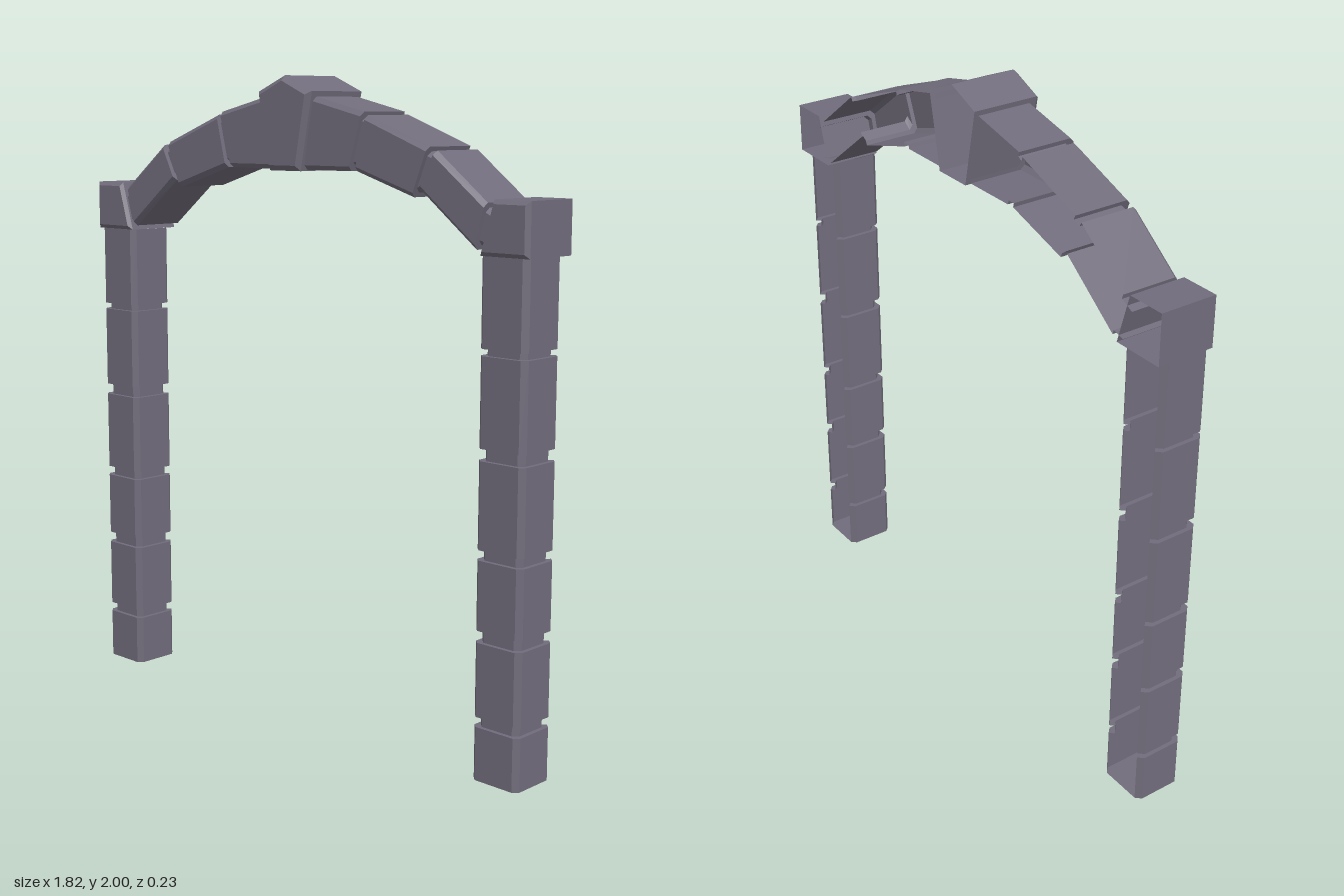
import * as THREE from 'three';

const stone = new THREE.MeshStandardMaterial({ color: 0x716c7b, flatShading: true, side: THREE.DoubleSide });

// Skin a list of equal-length point rows; optional fans close the first or last row
function loft(name, rows, { closed = false, capStart = false, capEnd = false, flip = false } = {}) {
  const n = rows[0].length, index = [];
  const tri = (a, b, c) => (flip ? index.push(a, c, b) : index.push(a, b, c));
  for (let r = 0; r < rows.length - 1; r++) {
    for (let i = 0; i < (closed ? n : n - 1); i++) {
      const j = (i + 1) % n, p = r * n, q = p + n;
      tri(p + i, p + j, q + j);
      tri(p + i, q + j, q + i);
    }
  }
  const last = (rows.length - 1) * n;
  for (let i = 1; i < n - 1; i++) {
    if (capStart) tri(0, i + 1, i);
    if (capEnd) tri(last, last + i, last + i + 1);
  }
  let geo = new THREE.BufferGeometry();
  geo.setAttribute('position', new THREE.Float32BufferAttribute(rows.flat(2), 3));
  geo.setIndex(index);
  geo = geo.toNonIndexed();
  geo.computeVertexNormals();
  const mesh = new THREE.Mesh(geo, stone);
  mesh.name = name;
  return mesh;
}

// U-shaped section, open at the back, between edge points a and b, with chamfered corners
function channelRow(a, b, zb, zf, c, inset = 0, backC = 0) {
  const len = Math.hypot(b[0] - a[0], b[1] - a[1]);
  const d = [(b[0] - a[0]) / len, (b[1] - a[1]) / len];
  const at = (t, z) => [a[0] + d[0] * t, a[1] + d[1] * t, z];
  const s = inset, e = len - inset, f = zf - inset, k = zb + (backC ? inset : 0);
  return [at(s + backC, k), at(s, k + backC), at(s, f - c), at(s + c, f),
    at(e - c, f), at(e, f - c), at(e, k + backC), at(e - backC, k)];
}

// Open-backed block from a counter-clockwise outline with a chamfered front
function block(name, outline, zb, zf, c) {
  const xs = outline.map(p => p[0]), ys = outline.map(p => p[1]);
  const x0 = Math.min(...xs), x1 = Math.max(...xs), y0 = Math.min(...ys), y1 = Math.max(...ys);
  const cx = (x0 + x1) / 2, cy = (y0 + y1) / 2;
  const kx = 1 - 2 * c / (x1 - x0), ky = 1 - 2 * c / (y1 - y0);
  const rows = [
    outline.map(([x, y]) => [x, y, zb]),
    outline.map(([x, y]) => [x, y, zf - c]),
    outline.map(([x, y]) => [cx + (x - cx) * kx, cy + (y - cy) * ky, zf]),
  ];
  return loft(name, rows, { closed: true, capEnd: true });
}

function createPillar(name, x0, x1) {
  // Bottom and top heights of the stacked stones
  const stones = [[0, 0.16], [0.19, 0.41], [0.445, 0.65], [0.68, 0.935], [0.97, 1.23], [1.25, 1.505]];
  const rows = [];
  stones.forEach(([lo, hi], i) => {
    const row = (y, inset) => rows.push(channelRow([x0, y], [x1, y], -0.075, 0.085, 0.016, inset, 0.016));
    if (i > 0) row(lo, 0.013);
    row(lo, 0);
    row(hi, 0);
    if (i < stones.length - 1) row(hi, 0.013);
  });
  return loft(name, rows, { capStart: true });
}

function createArchSide(name, side) {
  // Each stone: outer and inner point at its start, then at its end
  const stones = [
    [[-0.757, 1.65], [-0.722, 1.52], [-0.577, 1.787], [-0.52, 1.675]],
    [[-0.55, 1.797], [-0.493, 1.655], [-0.315, 1.884], [-0.275, 1.722]],
    [[-0.3, 1.893], [-0.25, 1.722], [-0.105, 1.938], [-0.07, 1.722]],
  ];
  const rows = [];
  const row = (a, b, inset) =>
    rows.push(channelRow([a[0] * side, a[1]], [b[0] * side, b[1]], -0.1, 0.09, 0.014, inset));
  // Joint reaching back into the capital
  row([-0.8, 1.63], [-0.76, 1.51], 0.014);
  for (const [a, b, c, d] of stones) {
    row(a, b, 0.014);
    row(a, b, 0);
    row(c, d, 0);
    row(c, d, 0.014);
  }
  return loft(name, rows, { flip: side < 0 });
}

export function createModel() {
  const group = new THREE.Group();
  group.name = 'stoneArch';

  for (const [label, side] of [['left', 1], ['right', -1]]) {
    group.add(createPillar(label + 'Pillar', side > 0 ? 0.737 : -0.902, side > 0 ? 0.902 : -0.737));

    // Capital with a slanted inner face
    const cap = [[0.74, 1.505], [0.91, 1.505], [0.91, 1.66], [0.785, 1.66]].map(([x, y]) => [x * side, y]);
    group.add(block(label + 'Capital', side > 0 ? cap : cap.reverse(), -0.1, 0.095, 0.012));

    group.add(createArchSide(label + 'ArchStones', -side * -1 > 0 ? -1 : 1));
  }

  // Pointed keystone at the crown
  const key = [[-0.065, 1.718], [0.065, 1.718], [0.112, 1.953], [0, 2], [-0.112, 1.953]];
  group.add(block('keystone', key, -0.115, 0.115, 0.016));
  return group;
}
